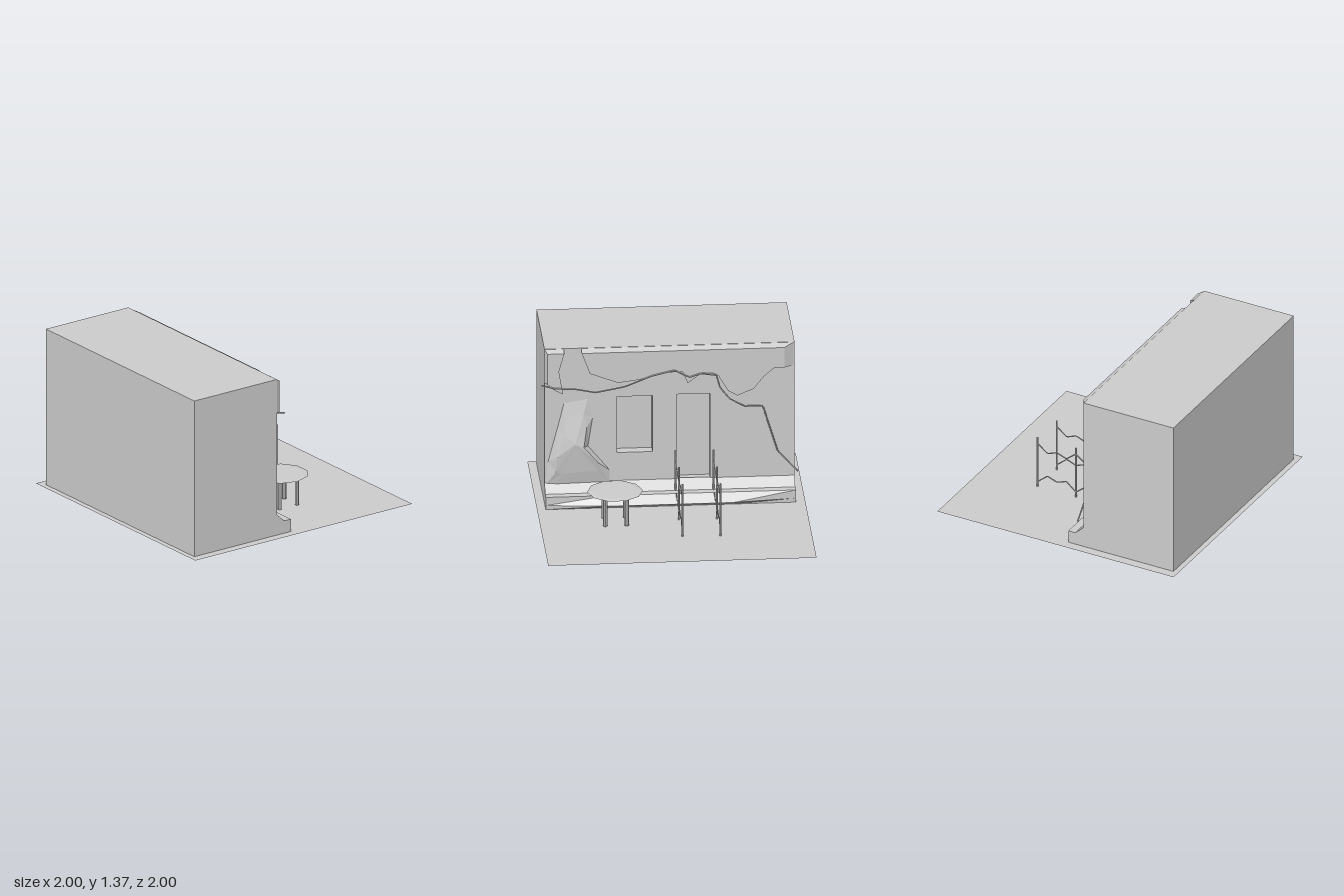
import * as THREE from 'three';

const grey = new THREE.MeshStandardMaterial({ color: 0xcccccc, flatShading: true, side: THREE.DoubleSide });
const V = (x, y, z) => new THREE.Vector3(x, y, z);

function add(parent, name, geometry, x = 0, y = 0, z = 0) {
  const mesh = new THREE.Mesh(geometry, grey);
  mesh.name = name;
  mesh.position.set(x, y, z);
  parent.add(mesh);
  return mesh;
}

function shapeOf(points) {
  return new THREE.Shape(points.map(([x, y]) => new THREE.Vector2(x, y)));
}

// Flat outline in x and y, thickened from z0 to z1
function slab(shape, z0, z1) {
  return new THREE.ExtrudeGeometry(shape, { depth: z1 - z0, bevelEnabled: false }).translate(0, 0, z0);
}

// Move every vertex by a rule
function reshape(geometry, rule) {
  const p = geometry.attributes.position;
  const v = V(0, 0, 0);
  for (let i = 0; i < p.count; i++) {
    rule(v.fromBufferAttribute(p, i));
    p.setXYZ(i, v.x, v.y, v.z);
  }
  geometry.computeVertexNormals();
  return geometry;
}

// Straight-jointed thin bar through a list of points
function bar(points, radius) {
  const path = new THREE.CurvePath();
  for (let i = 1; i < points.length; i++) path.add(new THREE.LineCurve3(points[i - 1], points[i]));
  return new THREE.TubeGeometry(path, (points.length - 1) * 6, radius, 5, false);
}

function buildHouse(group) {
  // Main block with a back wall pierced by a window and a door
  add(group, 'houseBlock', new THREE.BoxGeometry(1.864, 1.238, 0.68), 0.003, 0.751, 0.62);
  const wall = shapeOf([[-0.929, 0.132], [0.935, 0.132], [0.935, 1.37], [-0.929, 1.37]]);
  const hole = (x0, x1, y0, y1) => wall.holes.push(shapeOf([[x0, y0], [x0, y1], [x1, y1], [x1, y0]]));
  hole(0.13, 0.395, 0.52, 0.97);
  hole(-0.30, -0.05, 0.29, 0.975);
  add(group, 'backWall', slab(wall, 0.2, 0.28));

  // Plaster layer with a ragged lower edge, chamfered at the top
  const plaster = slab(shapeOf([
    [0.66, 1.37], [0.60, 1.18], [0.39, 1.10], [0.23, 1.12], [0.07, 1.17], [-0.09, 1.175], [-0.13, 1.08],
    [-0.22, 1.15], [-0.36, 1.13], [-0.43, 1.01], [-0.50, 0.97], [-0.62, 1.02], [-0.70, 1.12],
    [-0.77, 1.18], [-0.929, 1.185], [-0.929, 1.37]]), 0.155, 0.205);
  add(group, 'upperPlaster', reshape(plaster, v => {
    if (v.z > 0.16) return;
    if (v.y > 1.36) v.y = 1.345;
    if (v.x < -0.92) v.x = -0.85;
  }));

  // Broken piece at the top corner
  const corner = slab(shapeOf([
    [0.935, 1.37], [0.79, 1.37], [0.83, 1.2], [0.80, 1.02], [0.86, 1.05], [0.935, 1.1]]), 0.16, 0.205);
  add(group, 'cornerPlaster', reshape(corner, v => {
    if (v.z > 0.17) return;
    if (v.y > 1.36) v.y = 1.345;
    if (v.x > 0.92) v.x = 0.915;
  }));

  // Ledge along the foot of the wall, bulging in the middle
  const ledge = new THREE.ExtrudeGeometry(shapeOf([
    [-0.205, 0.132], [-0.205, 0.3], [-0.13, 0.23], [-0.07, 0.23], [-0.069, 0.165], [-0.07, 0.132]]),
  { depth: 1.864, steps: 4, bevelEnabled: false });
  ledge.rotateY(Math.PI / 2).translate(-0.929, 0, 0);
  add(group, 'footLedge', reshape(ledge, v => {
    if (Math.abs(v.y - 0.165) < 0.001 && Math.abs(v.x) < 0.9) v.z = 0.02;
  }));
}

// Faceted patch swelling from the wall: outer outline, raised ring, centre
function swollenPatch() {
  const outline = [[0.79, 0.935], [0.61, 0.966], [0.575, 0.81], [0.61, 0.58], [0.447, 0.38],
    [0.447, 0.27], [0.86, 0.24], [0.93, 0.27], [0.91, 0.46], [0.84, 0.73]];
  const raised = [0.18, 0.18, 0.17, 0.14, 0.15, 0.17, 0.17, 0.165, 0.15, 0.16];
  const centre = V(0.71, 0.62, 0.135);
  const outer = outline.map(([x, y]) => V(x, y, 0.201));
  const inner = outline.map(([x, y], i) => V(x, y, 0).lerp(centre, 0.35).setZ(raised[i]));
  const corners = [];
  outer.forEach((a, i) => {
    const j = (i + 1) % outer.length;
    corners.push(outer[j], a, inner[i], outer[j], inner[i], inner[j], inner[j], inner[i], centre);
  });
  const geometry = new THREE.BufferGeometry().setFromPoints(corners);
  geometry.computeVertexNormals();
  return geometry;
}

// Fence: three posts joined by two zigzag rails
function buildFence(x, dz) {
  const fence = new THREE.Group();
  fence.name = 'fence';
  for (const z of [0.13, -0.195, -0.52]) {
    add(fence, 'fencePost', new THREE.CylinderGeometry(0.008, 0.008, 0.55, 6), 0, 0.275, z);
  }
  const zig = [0, 0.08, 0.16, 0.24, 0.325, 0.405, 0.485, 0.565, 0.65];
  const upper = [0.5, 0.435, 0.465, 0.435, 0.5, 0.435, 0.465, 0.435, 0.5];
  const lower = [0.17, 0.24, 0.21, 0.24, 0.17, 0.24, 0.21, 0.24, 0.17];
  for (const heights of [upper, lower]) {
    add(fence, 'fenceRail', bar(zig.map((d, i) => V(0, heights[i], 0.13 - d)), 0.005));
  }
  fence.position.set(x, 0, dz);
  return fence;
}

// Round ten-sided table on four legs
function buildTable() {
  const table = new THREE.Group();
  table.name = 'table';
  const profile = [[0, 0.368], [0.17, 0.37], [0.208, 0.379], [0.17, 0.384], [0, 0.386]];
  const top = new THREE.LatheGeometry(profile.map(([r, y]) => new THREE.Vector2(r, y)), 10);
  add(table, 'tableTop', top.rotateY(Math.PI / 10));
  for (const x of [-0.08, 0.08]) {
    for (const z of [-0.09, 0.07]) {
      add(table, 'tableLeg', new THREE.CylinderGeometry(0.016, 0.016, 0.235, 8), x, 0.2545, z);
    }
  }
  table.position.set(0.44, 0, -0.2);
  return table;
}

export function createModel() {
  const model = new THREE.Group();
  model.name = 'ruinedHouse';

  add(model, 'ground', new THREE.PlaneGeometry(2, 2).rotateX(-Math.PI / 2), 0, 0.13, 0);
  buildHouse(model);
  add(model, 'swollenPlaster', swollenPatch());

  // Sagging cable across the back wall
  const cable = [[0.96, 1.1], [0.86, 1.07], [0.70, 1.06], [0.56, 1.03], [0.34, 1.07], [0.14, 1.15],
    [-0.03, 1.19], [-0.14, 1.13], [-0.23, 1.16], [-0.34, 1.15], [-0.37, 1.04], [-0.44, 0.95],
    [-0.55, 0.88], [-0.69, 0.88], [-0.73, 0.74], [-0.80, 0.51], [-0.95, 0.345]];
  add(model, 'cable', bar(cable.map(([x, y]) => V(x, y, y > 0.9 ? 0.148 : 0.16)), 0.006));

  model.add(buildFence(-0.32, -0.003), buildFence(-0.037, 0.005), buildTable());
  return model;
}
